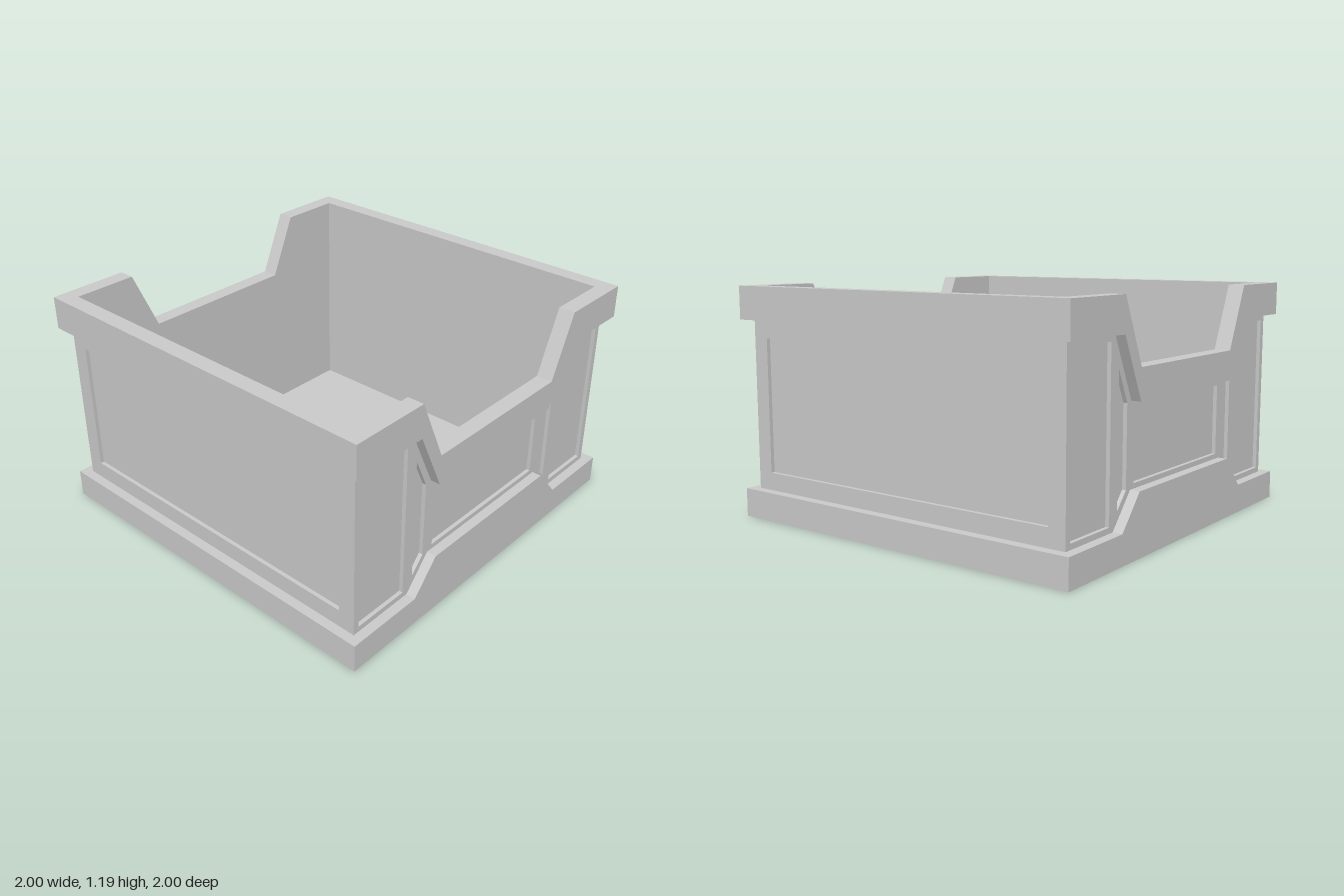
import * as THREE from 'three';

const material = new THREE.MeshStandardMaterial({ color: 0xcccccc, flatShading: true });
const INNER = 0.915, WALL = 0.95, OUTER = 1, RECESS = 0.93, FLOOR = 0.03;

const toPoints = (list) => list.map(([x, y]) => new THREE.Vector2(x, y));
const mirrored = (list) => list.map(([x, y]) => [-x, y]).reverse();
const rect = (x0, x1, y0, y1) => [[x0, y0], [x1, y0], [x1, y1], [x0, y1]];

// Slab standing upright, with its outline in the wall's plane, from depth z0 to z1
function slab(name, outline, z0, z1, holes = []) {
  const shape = new THREE.Shape(toPoints(outline));
  holes.forEach((hole) => shape.holes.push(new THREE.Path(toPoints(hole))));
  const geometry = new THREE.ExtrudeGeometry(shape, { depth: z1 - z0, bevelEnabled: false });
  geometry.translate(0, 0, z0);
  const mesh = new THREE.Mesh(geometry, material);
  mesh.name = name;
  return mesh;
}

// Closed band between a lower and an upper line, both given for the right half only
function band(lower, upper) {
  const back = [...upper].reverse();
  return [...mirrored(lower), ...lower, ...back, ...mirrored(back)];
}

// Base, recessed wall and rim for one side of the box
function buildSide(name, angle, wallEnd, lines, panels) {
  const side = new THREE.Group();
  side.name = name;
  const shorten = (line) => line.map(([x, y]) => [Math.min(x, wallEnd), y]);
  const wall = band(shorten(lines.baseTop), shorten(lines.rimBottom));
  side.add(
    slab('baseBand', band(lines.bottom, lines.baseTop), INNER, OUTER),
    slab('panelBacking', wall, INNER, RECESS),
    slab('panelFrame', wall, RECESS, WALL, panels),
    slab('rim', band(lines.rimBottom, lines.rimTop), INNER, OUTER),
  );
  side.rotation.y = angle;
  return side;
}

export function createModel() {
  const model = new THREE.Group();
  model.name = 'openBox';

  // Straight front and back with one large recessed panel
  const level = (y) => [[INNER, y]];
  const straight = {
    bottom: level(0), baseTop: level(0.147), rimBottom: level(1.017), rimTop: level(1.187),
  };
  const largePanel = [rect(-0.862, 0.862, 0.238, 0.926)];
  model.add(buildSide('front', 0, INNER, straight, largePanel));
  model.add(buildSide('back', Math.PI, INNER, straight, largePanel));

  // Left and right sides dip in the middle, where the base rises
  const stepped = (yMid, yEnd) => [[0.44, yMid], [0.583, yEnd], [OUTER, yEnd]];
  const dipped = {
    bottom: [[OUTER, 0]],
    baseTop: stepped(0.31, 0.147),
    rimBottom: stepped(0.712, 1.017),
    rimTop: stepped(0.865, 1.187),
  };
  const cornerPanel = rect(0.613, 0.918, 0.175, 0.986);
  const slantedPanel = [[0.475, 0.315], [0.548, 0.235], [0.548, 0.863], [0.475, 0.706]];
  const sidePanels = [
    rect(-0.408, 0.408, 0.335, 0.687),
    cornerPanel, mirrored(cornerPanel),
    slantedPanel, mirrored(slantedPanel),
  ];
  model.add(buildSide('left', Math.PI / 2, WALL, dipped, sidePanels));
  model.add(buildSide('right', -Math.PI / 2, WALL, dipped, sidePanels));

  // Thin floor between the walls
  const floor = new THREE.Mesh(new THREE.BoxGeometry(2 * INNER, FLOOR, 2 * INNER), material);
  floor.name = 'floor';
  floor.position.y = FLOOR / 2;
  model.add(floor);

  return model;
}
